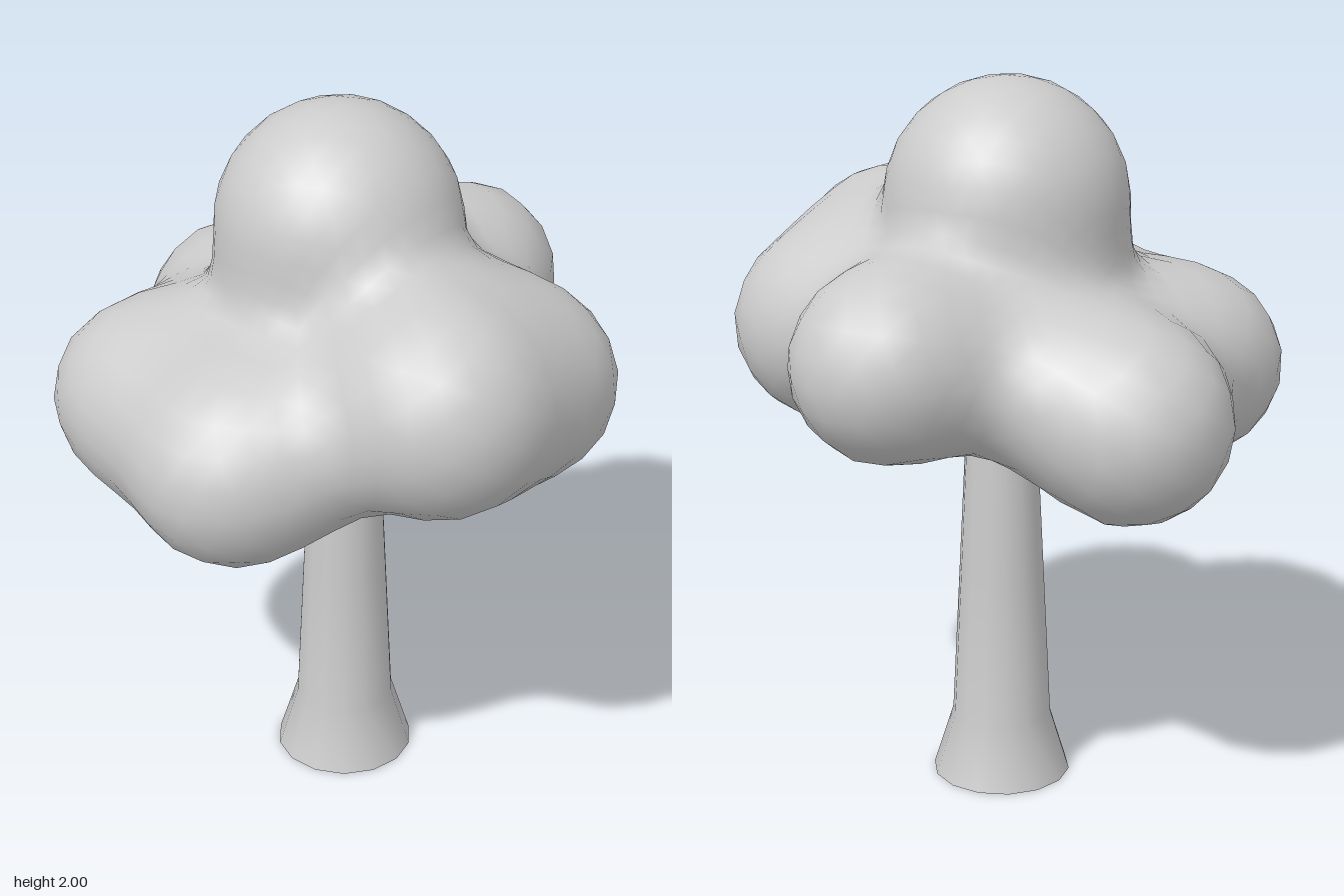
import * as THREE from 'three';
import { mergeVertices } from 'three/addons/utils/BufferGeometryUtils.js';

// Foliage lobes: [start, end, radius at start, radius at end]
const V = (x, y, z) => new THREE.Vector3(x, y, z);
const lobe = (x, y, z, r) => [V(x, y, z), V(x, y, z), r, r];
const LOBES = [
  lobe(0, 1.31, 0, 0.31),            // core
  [V(0, 1.67, -0.01), V(0, 1.45, -0.01), 0.33, 0.33], // top dome
  lobe(0.28, 1.3, 0.18, 0.19),       // fillings between neighbouring lobes
  lobe(0.26, 1.26, -0.23, 0.2),
  lobe(-0.33, 1.23, 0.18, 0.2),
  lobe(-0.1, 1.19, -0.4, 0.2),
  lobe(-0.42, 1.18, -0.17, 0.22),
  lobe(0, 1.37, 0.3, 0.22),
  [V(-0.19, 1.37, 0.475), V(0.15, 1.29, 0.465), 0.295, 0.272], // front
  lobe(0.51, 1.33, 0.02, 0.262),     // left side
  lobe(-0.505, 1.18, 0.05, 0.265),   // right side
  lobe(0.18, 1.175, -0.505, 0.27),   // back
  lobe(-0.36, 1.18, -0.375, 0.26),   // back corner
];
const BLEND = 0.17;

// Smoothly blended distance to all lobes
function distance(p) {
  let d = 10;
  for (const [a, b, ra, rb] of LOBES) {
    const ab = b.clone().sub(a), ap = p.clone().sub(a);
    const t = THREE.MathUtils.clamp(ap.dot(ab) / Math.max(ab.lengthSq(), 1e-6), 0, 1);
    const e = ap.addScaledVector(ab, -t).length() - (ra + (rb - ra) * t);
    const h = Math.max(BLEND - Math.abs(d - e), 0) / BLEND;
    d = Math.min(d, e) - h * h * BLEND * 0.25;
  }
  return d;
}

// Shrink a sphere onto the blended lobes
function crownGeometry() {
  let geo = new THREE.IcosahedronGeometry(1, 9);
  geo.deleteAttribute('normal');
  geo.deleteAttribute('uv');
  geo = mergeVertices(geo, 1e-4);
  const centre = V(0, 1.32, 0), pos = geo.attributes.position;
  for (let i = 0; i < pos.count; i++) {
    const dir = V(0, 0, 0).fromBufferAttribute(pos, i).normalize();
    const p = V(0, 0, 0);
    let r = 1.2;
    for (let k = 0; k < 60; k++) {
      p.copy(centre).addScaledVector(dir, r);
      const d = distance(p);
      if (d < 0.001) break;
      r -= d * 0.9;
    }
    pos.setXYZ(i, p.x, p.y, p.z);
  }
  geo.computeVertexNormals();
  return geo;
}

export function createModel() {
  const model = new THREE.Group();
  model.name = 'tree';
  const grey = new THREE.MeshStandardMaterial({ color: 0xcccccc });
  grey.name = 'plain grey';

  const add = (name, geo) => {
    const mesh = new THREE.Mesh(geo, grey);
    mesh.name = name;
    model.add(mesh);
    return mesh;
  };

  add('crown', crownGeometry());

  // Tapered trunk with a flared foot
  const profile = [[0.194, 0], [0.139, 0.18], [0.119, 0.6], [0.1, 1.0], [0.095, 1.1]];
  const trunk = add('trunk', new THREE.LatheGeometry(
    profile.map(([r, y]) => new THREE.Vector2(r, y)), 14));
  const base = add('trunkBase', new THREE.CircleGeometry(0.194, 14, Math.PI / 2)
    .rotateX(Math.PI / 2));
  trunk.position.x = base.position.x = 0.012;
  return model;
}
